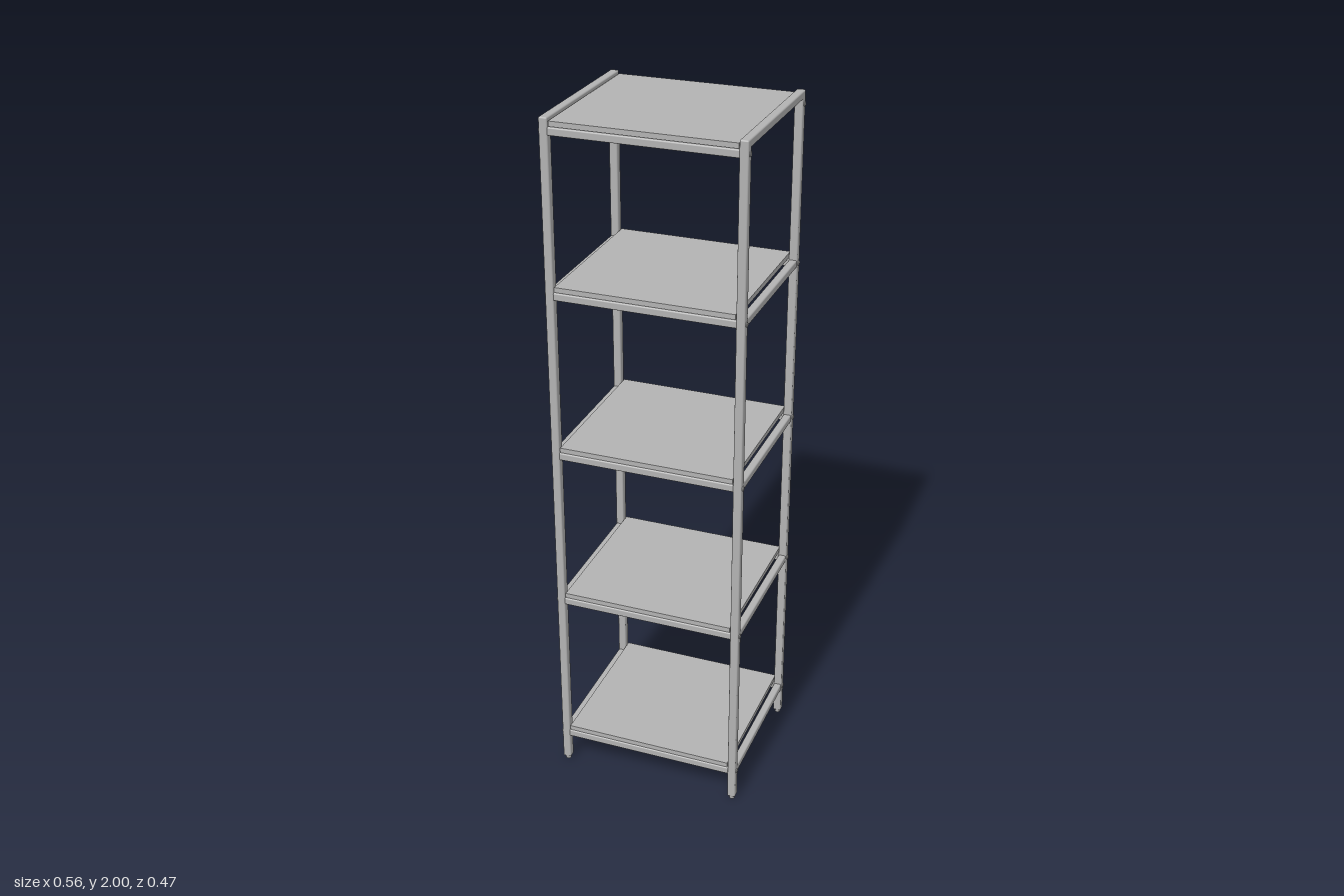
import * as THREE from 'three';
import { RoundedBoxGeometry } from 'three/addons/geometries/RoundedBoxGeometry.js';

const metal = new THREE.MeshStandardMaterial({ color: 0xb2b2b2 });
metal.name = 'grey metal';

const TUBE = 0.024;      // square tube width
const POST_X = 0.263;    // post centres
const POST_Z = 0.222;
const SHELF_TOPS = [0.128, 0.602, 1.075, 1.548, 1.991];

export function createModel() {
  const model = new THREE.Group();
  model.name = 'shelvingUnit';

  const add = (name, geometry, x, y, z) => {
    const mesh = new THREE.Mesh(geometry, metal);
    mesh.name = name;
    mesh.position.set(x, y, z);
    model.add(mesh);
    return mesh;
  };
  const tube = (w, h, d) => new RoundedBoxGeometry(w, h, d, 2, 0.004);

  // Side frames: posts, feet and a tube across the top
  for (const sx of [-1, 1]) {
    for (const sz of [-1, 1]) {
      add('post', tube(TUBE, 1.977, TUBE), sx * POST_X, 0.9985, sz * POST_Z);
      add('foot', new THREE.CylinderGeometry(0.0095, 0.008, 0.014, 16), sx * POST_X, 0.007, sz * POST_Z);
    }
    add('topTube', tube(TUBE, 0.022, 2 * POST_Z + TUBE), sx * POST_X, 1.989, 0);
  }

  // Shelves: a board carried by front and back rails
  SHELF_TOPS.forEach((top, i) => {
    const railY = top - 0.0265;
    const isTop = i === SHELF_TOPS.length - 1;
    add('shelfBoard', new THREE.BoxGeometry(0.498, 0.014, 0.462), 0, top - 0.007, 0);

    for (const s of [-1, 1]) {
      add('crossRail', tube(2 * POST_X - TUBE + 0.004, 0.022, 0.022), 0, railY, s * POST_Z);

      // Side rails between the posts; the top tube takes their place on top
      if (!isTop) add('sideRail', tube(0.022, 0.022, 2 * POST_Z - TUBE + 0.004), s * POST_X, railY, 0);

      // Bolt heads on the outer faces of the posts
      for (const sz of [-1, 1]) {
        const bolt = add('boltHead', new THREE.CylinderGeometry(0.007, 0.007, 0.004, 16),
          s * 0.2755, railY, sz * POST_Z);
        bolt.rotation.z = Math.PI / 2;
      }
    }
  });

  return model;
}
